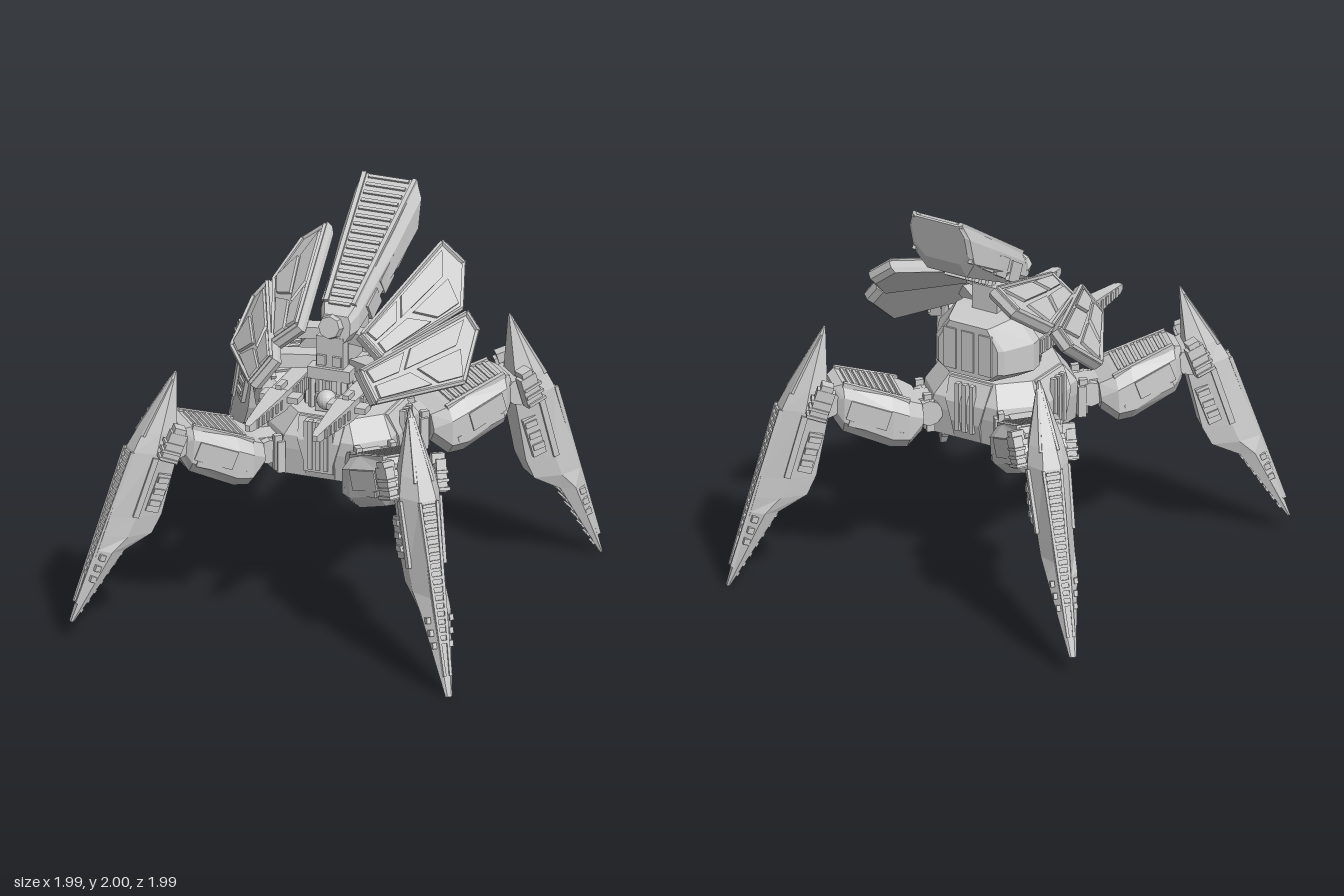
import * as THREE from 'three';

const mat = new THREE.MeshStandardMaterial({ color: 0xcccccc, flatShading: true });
const CX = 0.04; // the hull sits slightly off the middle

function add(parent, name, geo, x = 0, y = 0, z = 0, rx = 0, ry = 0, rz = 0) {
  const m = new THREE.Mesh(geo, mat);
  m.name = name;
  m.position.set(x, y, z);
  m.rotation.set(rx, ry, rz);
  parent.add(m);
}
const box = (w, h, d) => new THREE.BoxGeometry(w, h, d);

function group(parent, name, x = 0, y = 0, z = 0) {
  const g = new THREE.Group();
  g.name = name;
  g.position.set(x, y, z);
  parent.add(g);
  return g;
}

// Closed solid through matching rings of points, turned so its faces point outwards
function solid(rings) {
  const tris = [], n = rings[0].length;
  for (let k = 0; k < rings.length - 1; k++)
    for (let i = 0; i < n; i++) {
      const j = (i + 1) % n, a = rings[k], b = rings[k + 1];
      tris.push([a[i], a[j], b[j]], [a[i], b[j], b[i]]);
    }
  const first = rings[0], last = rings[rings.length - 1];
  for (let i = 1; i < n - 1; i++) tris.push([first[0], first[i + 1], first[i]], [last[0], last[i], last[i + 1]]);
  const V = p => new THREE.Vector3(...p);
  let vol = 0;
  for (const [a, b, c] of tris) vol += V(a).dot(V(b).cross(V(c)));
  const pos = tris.flatMap(t => (vol < 0 ? [t[0], t[2], t[1]] : t).flat());
  const g = new THREE.BufferGeometry();
  g.setAttribute('position', new THREE.Float32BufferAttribute(pos, 3));
  g.computeVertexNormals();
  return g;
}

const lerp = (a, b, t) => a.map((v, i) => v + (b[i] - v) * t);

// Box laid between two points
function beam(parent, name, a, b, w, h) {
  const A = new THREE.Vector3(...a), B = new THREE.Vector3(...b);
  const m = new THREE.Mesh(box(w, h, A.distanceTo(B)), mat);
  m.name = name;
  m.position.copy(A).add(B).multiplyScalar(0.5);
  m.lookAt(B);
  parent.add(m);
}

// Leg: x runs outwards, z across
function makeLeg(parent, angle) {
  const leg = group(parent, 'leg');
  leg.rotation.y = angle;

  add(leg, 'hipJoint', new THREE.CylinderGeometry(0.065, 0.065, 0.2, 10), 0.41, 0.85, 0, Math.PI / 2);
  add(leg, 'hipLink', box(0.2, 0.11, 0.12), 0.36, 0.86, 0);

  // thigh: [r, bottom, top, half width]
  const thigh = [[0.45, 0.77, 0.91, 0.15], [0.53, 0.705, 0.95, 0.195], [0.61, 0.71, 0.98, 0.19], [0.84, 0.8, 1.05, 0.135], [0.88, 0.86, 1.03, 0.1]];
  add(leg, 'thigh', solid(thigh.map(([r, b, t, w]) => [
    [r, t, -w * 0.75], [r, t, w * 0.75], [r, t - 0.06, w], [r, b + 0.06, w], [r, b, w * 0.7],
    [r, b, -w * 0.7], [r, b + 0.06, -w], [r, t - 0.06, -w]])));
  for (let i = 0; i < 9; i++) {
    const f = i / 8, r = 0.56 + 0.25 * f;
    add(leg, 'thighSlat', box(0.016, 0.022, 0.24 - 0.07 * f), r, 0.965 + (r - 0.56) * 0.3, 0, 0, 0, 0.28);
  }
  for (const s of [-1, 1]) {
    beam(leg, 'thighRail', [0.52, 0.945, s * 0.14], [0.84, 1.05, s * 0.1], 0.025, 0.025);
    beam(leg, 'thighSidePlate', [0.63, 0.87, s * 0.185], [0.82, 0.93, s * 0.14], 0.015, 0.1);
    beam(leg, 'thighSideRib', [0.56, 0.79, s * 0.188], [0.82, 0.86, s * 0.14], 0.015, 0.03);
  }

  // knee
  add(leg, 'kneeJoint', new THREE.CylinderGeometry(0.07, 0.07, 0.22, 10), 0.92, 0.95, 0, Math.PI / 2);
  for (const s of [-1, 1]) {
    add(leg, 'kneeBlock', box(0.09, 0.16, 0.05), 0.955, 0.97, s * 0.14, 0, s * 0.2, 0.3);
    add(leg, 'kneeCap', box(0.06, 0.05, 0.065), 0.93, 1.05, s * 0.135, 0, s * 0.2, 0.3);
    for (let i = 0; i < 3; i++) add(leg, 'kneeRib', box(0.1, 0.015, 0.06), 0.958 + i * 0.012, 0.99 - i * 0.04, s * 0.14, 0, s * 0.2, 0.3);
  }

  // shin blade: [y, inner r, outer r, outer half width, middle half width]
  const shin = [[1.32, 0.905, 0.915, 0.004, 0.008], [1.02, 0.91, 1.08, 0.035, 0.088], [0.92, 0.9, 1.13, 0.045, 0.105],
    [0.57, 0.965, 1.235, 0.042, 0.092], [0.47, 1.01, 1.262, 0.04, 0.088], [0.39, 1.15, 1.283, 0.036, 0.08], [0, 1.38, 1.395, 0.01, 0.018]];
  add(leg, 'shin', solid(shin.map(([y, a, b, wo, wm]) => {
    const m = a + (b - a) * 0.55;
    return [[b, y, -wo], [b, y, wo], [m, y, wm], [a, y, wm * 0.8], [a, y, -wm * 0.8], [m, y, -wm]];
  })));
  for (let i = 0; i < 18; i++) {
    const f = i / 17;
    add(leg, 'shinSlat', box(0.022, 0.016, 0.065 - 0.03 * f), 1.137 + 0.183 * f, 0.9 - 0.64 * f, 0, 0, 0, 0.28);
  }
  for (let i = 0; i < 7; i++) {
    const f = i / 6;
    add(leg, 'shinRung', box(0.02, 0.022, 0.11 - 0.075 * f), 1.165 + 0.18 * f, 0.37 - 0.31 * f, 0, 0, 0, 0.55);
  }
  for (const s of [-1, 1]) {
    beam(leg, 'shinRail', [1.135, 0.92, s * 0.046], [1.37, 0.1, s * 0.016], 0.014, 0.02);
    beam(leg, 'spikeEdge', [0.925, 1.28, s * 0.008], [1.08, 1.0, s * 0.044], 0.014, 0.02);
    beam(leg, 'shinSideRail', [1.03, 0.9, s * 0.103], [1.115, 0.58, s * 0.092], 0.02, 0.03);
    beam(leg, 'shinSidePlate', [0.97, 0.8, s * 0.09], [1.03, 0.6, s * 0.086], 0.025, 0.07);
    for (let i = 0; i < 3; i++) add(leg, 'shinVent', box(0.06, 0.03, 0.02), 0.98 + i * 0.02, 0.77 - i * 0.06, s * 0.1, 0, 0, 0.25);
    for (let i = 0; i < 3; i++) add(leg, 'shinStud', box(0.03, 0.03, 0.02), 1.268 + i * 0.018, 0.36 - i * 0.06, s * (0.06 - i * 0.008), 0, 0, 0.3);
  }
}

// Flat wing A-B-C-D-E (inner front, inner tip, outer tip, outer corner, outer front); side is 1 or -1
function makeWing(parent, name, side, corners) {
  const g = group(parent, name);
  const V = p => new THREE.Vector3(...p);
  const [a, b, , , e] = corners.map(V);
  const n = e.sub(a).cross(b.sub(a)).normalize().multiplyScalar(side);
  const off = (p, d) => V(p).addScaledVector(n, d).toArray();
  const poly = corners.map(p => off(p, a.clone().sub(V(p)).dot(n)));
  const [A, B, , D, E] = poly;
  const mid = lerp(lerp(A, D, 0.5), lerp(B, E, 0.5), 0.5);
  add(g, 'wingPlate', solid([poly.map(p => off(lerp(p, mid, 0.06), -0.06)), poly.map(p => off(p, -0.035)), poly]));
  poly.forEach((p, i) => beam(g, 'wingEdge', off(lerp(p, mid, 0.05), 0.006), off(lerp(poly[(i + 1) % 5], mid, 0.05), 0.006), 0.016, 0.016));
  const P = (s, t) => lerp(lerp(A, B, s), lerp(E, D, s), t);
  // raised panels: s, t of the four corners
  for (const q of [[0.06, 0.12, 0.4, 0.12, 0.32, 0.46, 0.08, 0.46], [0.46, 0.12, 0.95, 0.1, 0.88, 0.42, 0.38, 0.46],
    [0.08, 0.56, 0.42, 0.56, 0.62, 0.9, 0.08, 0.9], [0.5, 0.54, 0.92, 0.5, 0.95, 0.9, 0.7, 0.9]]) {
    const panel = [0, 2, 4, 6].map(i => P(q[i], q[i + 1]));
    add(g, 'wingPanel', solid([panel.map(p => off(p, -0.01)), panel.map(p => off(p, 0.015))]));
  }
}

function makeHull(parent) {
  const hull = group(parent, 'hull', CX, 0, 0);
  // square ring with cut corners: face distance a, half face width b
  const ring = (y, a, b) => [[a, -b], [a, b], [b, a], [-b, a], [-a, b], [-a, -b], [-b, -a], [b, -a]].map(([x, z]) => [x, y, z]);
  add(hull, 'hullBody', solid([ring(0.73, 0.3, 0.2), ring(0.87, 0.32, 0.2), ring(0.94, 0.32, 0.18), ring(1.04, 0.26, 0.13)]));
  for (let k = 0; k < 4; k++) {
    const side = group(hull, 'hullSide');
    side.rotation.y = k * Math.PI / 2;
    const p = (x, y, z) => [[-x, y, z], [x, y, z], [x, y, 0.2], [-x, y, 0.2]];
    add(side, 'hullPanel', solid([p(0.075, 0.735, 0.305), p(0.08, 0.83, 0.33), p(0.11, 0.93, 0.33), p(0.12, 1.035, 0.28)]));
    for (const x of [-0.04, 0, 0.04]) add(side, 'hullRib', box(0.022, 0.25, 0.03), x, 0.91, 0.325);
    const corner = group(hull, 'hullCorner');
    corner.rotation.y = (k + 0.5) * Math.PI / 2;
    add(corner, 'hipPlate', box(0.24, 0.16, 0.04), 0, 0.83, 0.375);
    for (const x of [-0.09, 0.09]) add(corner, 'hipRib', box(0.03, 0.18, 0.04), x, 0.85, 0.385);
  }
  add(hull, 'frontBlock', box(0.15, 0.26, 0.12), 0, 0.9, 0.27);
}

function makeTurret(parent) {
  const t = group(parent, 'turret', CX, 0, 0);
  // slotted neck
  add(t, 'neck', new THREE.CylinderGeometry(0.155, 0.165, 0.22, 16), 0, 1.13, 0.03);
  for (let i = 0; i < 20; i++) {
    const a = i * Math.PI / 10;
    add(t, 'neckRib', box(0.022, 0.16, 0.03), Math.sin(a) * 0.165, 1.12, 0.03 + Math.cos(a) * 0.165, 0, a);
  }
  // eight-sided rear housing
  const face = (z, k) => [[-0.18, 1.05], [0.18, 1.05], [0.27, 1.1], [0.27, 1.24], [0.17, 1.36], [-0.17, 1.36], [-0.27, 1.24], [-0.27, 1.1]]
    .map(([x, y]) => [x * k, 1.2 + (y - 1.2) * (k + 2) / 3, z]);
  add(t, 'rearHousing', solid([face(-0.3, 0.62), face(-0.28, 0.72), face(-0.13, 1), face(-0.07, 0.97)]));
  for (const x of [-0.1, 0, 0.1]) add(t, 'rearPanel', box(0.07, 0.21, 0.03), x, 1.2, -0.295);
  add(t, 'deck', box(0.22, 0.06, 0.32), 0, 1.23, 0.04);
  add(t, 'pylon', box(0.14, 0.26, 0.26), 0, 1.36, -0.02);
  add(t, 'frontPlate', box(0.14, 0.22, 0.06), 0, 1.31, 0.15);
  for (const s of [-1, 1]) add(t, 'platePad', box(0.045, 0.05, 0.03), s * 0.04, 1.3, 0.18);
  add(t, 'sensorBall', new THREE.SphereGeometry(0.05, 16, 12), 0, 1.11, 0.22);
  add(t, 'sensorMount', box(0.12, 0.09, 0.08), 0, 1.09, 0.18);

  for (const s of [-1, 1]) {
    // gun with a tapered barrel and cross fins
    const gun = group(t, 'gun', s * 0.175, 1.16, 0);
    add(gun, 'gunHousing', box(0.09, 0.09, 0.46), 0, 0, 0.18);
    for (let i = 0; i < 7; i++) add(gun, 'housingRib', box(0.11, 0.07, 0.025), 0, 0, 0.02 + i * 0.05);
    add(gun, 'gunBracket', box(0.12, 0.06, 0.1), -s * 0.06, 0, 0.1);
    const sq = (w, h, z) => [[-w, -h, z], [w, -h, z], [w, h, z], [-w, h, z]];
    add(gun, 'gunBarrel', solid([sq(0.045, 0.05, 0.4), sq(0.045, 0.045, 0.46), sq(0.02, 0.022, 0.78), sq(0.012, 0.015, 0.81)]));
    for (let i = 0; i < 6; i++) add(gun, 'barrelBand', box(0.1 - i * 0.008, 0.045, 0.02), 0, 0, 0.48 + i * 0.05);
    add(gun, 'gunFin', box(0.2, 0.03, 0.08), 0, 0, 0.37);
    add(gun, 'gunFin', box(0.03, 0.14, 0.08), 0, 0, 0.37);
    // wings and their struts
    const m = (x, y, z) => [x * s, y, z];
    makeWing(t, 'upperWing', s, [m(0.16, 1.46, 0.2), m(0.3, 1.7, -0.54), m(0.43, 1.62, -0.53), m(0.47, 1.42, -0.34), m(0.28, 1.36, 0.22)]);
    makeWing(t, 'lowerWing', s, [m(0.22, 1.35, 0.37), m(0.52, 1.45, -0.32), m(0.6, 1.38, -0.3), m(0.62, 1.19, -0.06), m(0.32, 1.21, 0.41)]);
    beam(t, 'upperStrut', m(0.06, 1.4, 0.06), m(0.22, 1.4, 0.1), 0.09, 0.06);
    beam(t, 'lowerStrut', m(0.1, 1.25, 0.06), m(0.31, 1.28, 0.2), 0.1, 0.07);
  }
}

// Long sloped back fin, slatted on top
function makeBackFin(parent) {
  const f = group(parent, 'backFin', 0.065, 0, 0);
  // [top z, top y, bottom z, bottom y, half width]
  const rings = [[0.16, 1.53, 0.18, 1.4, 0.075], [0.1, 1.58, 0.12, 1.4, 0.1], [-0.28, 1.82, -0.2, 1.55, 0.15], [-0.54, 1.985, -0.45, 1.67, 0.172], [-0.55, 1.98, -0.49, 1.75, 0.15]];
  add(f, 'finBody', solid(rings.map(([tz, ty, bz, by, w]) => {
    const p = (x, k) => [x * w, ty + (by - ty) * k, tz + (bz - tz) * k];
    return [p(-0.82, 0), p(0.82, 0), p(1, 0.25), p(1, 0.7), p(0.65, 1), p(-0.65, 1), p(-1, 0.7), p(-1, 0.25)];
  })));
  const slope = Math.atan2(0.42, 0.66);
  for (let i = 0; i < 17; i++) {
    const k = i / 16;
    add(f, 'finSlat', box(0.11 + 0.1 * k, 0.024, 0.017), 0, 1.57 + 0.405 * k, 0.11 - 0.635 * k, slope);
  }
  for (const s of [-1, 1]) {
    beam(f, 'finRail', [s * 0.072, 1.575, 0.11], [s * 0.132, 1.985, -0.54], 0.022, 0.028);
    for (let i = 0; i < 4; i++) {
      const k = 0.1 + i * 0.22;
      beam(f, 'finSidePlate', [s * (0.108 + 0.055 * k), 1.47 + 0.38 * k, 0.08 - 0.6 * k], [s * (0.116 + 0.055 * k), 1.53 + 0.38 * k, -0.02 - 0.6 * k], 0.02, 0.1);
    }
  }
  for (let i = 0; i < 6; i++) add(f, 'finKeelRib', box(0.12, 0.04, 0.03), 0, 1.47 + i * 0.032, -0.06 - i * 0.06, slope);
  add(f, 'finDisc', new THREE.CylinderGeometry(0.055, 0.065, 0.05, 8), -0.02, 1.475, 0.18, Math.PI / 2 - 0.2);
}

export function createModel() {
  const model = new THREE.Group();
  model.name = 'walker';
  makeHull(model);
  makeTurret(model);
  makeBackFin(model);
  const leftLegs = group(model, 'leftLegs');
  for (const k of [-1, 1]) makeLeg(leftLegs, k * Math.PI / 4);
  // the right legs are a little shorter and step up
  const rightLegs = group(model, 'rightLegs', -0.046, 0.028, 0);
  rightLegs.rotation.z = -0.066;
  rightLegs.scale.set(0.955, 0.955, 1);
  for (const k of [-3, 3]) makeLeg(rightLegs, k * Math.PI / 4);
  return model;
}
